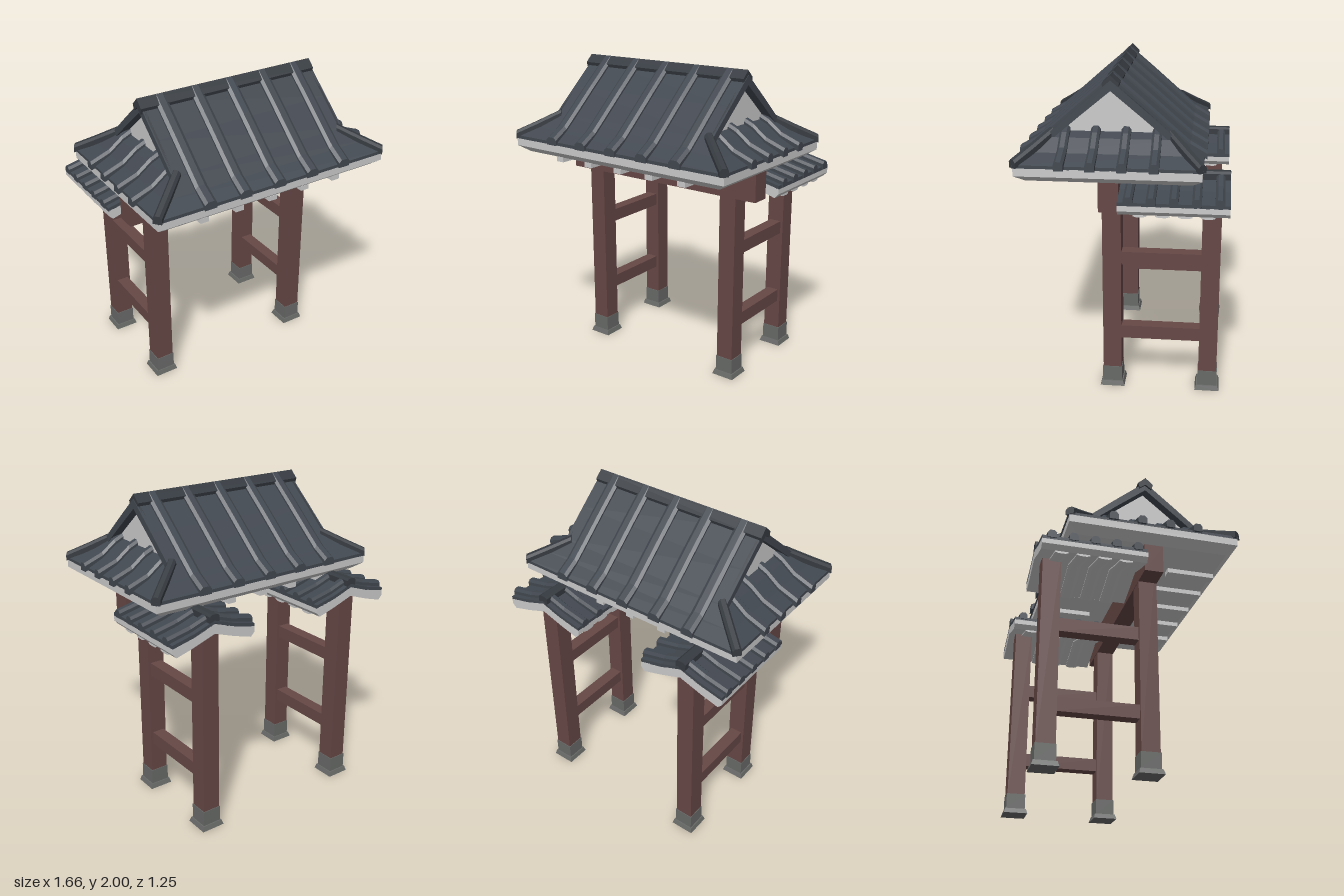
import * as THREE from 'three';

const paint = (color) => new THREE.MeshStandardMaterial({ color, flatShading: true });
const TILE = paint(0x424850), RIDGE = paint(0x363b41), WOOD = paint(0x664846);
const STONE = paint(0x686a68), GREY = paint(0xcccccc);
const ZC = 0.068; // depth of the main ridge line

function add(parent, name, geometry, material) {
  const mesh = new THREE.Mesh(geometry, material);
  mesh.name = name;
  parent.add(mesh);
  return mesh;
}

// Box given by its limits
function box(parent, name, material, x0, x1, y0, y1, z0, z1) {
  const mesh = add(parent, name, new THREE.BoxGeometry(x1 - x0, y1 - y0, z1 - z0), material);
  mesh.position.set((x0 + x1) / 2, (y0 + y1) / 2, (z0 + z1) / 2);
  return mesh;
}

// Closed solid through a row of rings; faces are turned outward by the sign of the volume
function loft(rings) {
  const n = rings[0].length, tris = [];
  for (let i = 0; i + 1 < rings.length; i++) {
    for (let j = 0; j < n; j++) {
      const k = (j + 1) % n, [a, b] = [rings[i], rings[i + 1]];
      tris.push([a[j], a[k], b[k]], [a[j], b[k], b[j]]);
    }
  }
  // Caps are triangulated so that concave sections work too
  for (const [ring, flip] of [[rings[0], true], [rings[rings.length - 1], false]]) {
    const size = [0, 1, 2].map((c) => Math.max(...ring.map((p) => p[c])) - Math.min(...ring.map((p) => p[c])));
    const drop = size.indexOf(Math.min(...size));
    const flat = ring.map((p) => new THREE.Vector2(...p.filter((_, c) => c !== drop)));
    const cw = THREE.ShapeUtils.isClockWise(flat);
    for (const [a, b, c] of THREE.ShapeUtils.triangulateShape(flat, [])) {
      const area = (flat[b].x - flat[a].x) * (flat[c].y - flat[a].y) - (flat[b].y - flat[a].y) * (flat[c].x - flat[a].x);
      const along = (area < 0) === cw; // same turning sense as the ring
      tris.push(along !== flip ? [ring[a], ring[b], ring[c]] : [ring[a], ring[c], ring[b]]);
    }
  }
  const v = (p) => new THREE.Vector3(...p), o = v(rings[0][0]);
  let volume = 0;
  for (const [a, b, c] of tris) volume += v(a).sub(o).dot(v(b).sub(o).cross(v(c).sub(o)));
  const pos = tris.flatMap((t) => (volume < 0 ? [t[0], t[2], t[1]] : t)).flat();
  const g = new THREE.BufferGeometry();
  g.setAttribute('position', new THREE.Float32BufferAttribute(pos, 3));
  g.computeVertexNormals();
  return g;
}

// Faceted half-round strip laid along a path; h is its rise (negative hangs down)
function strip(path, w, h) {
  const a = path[0], b = path[path.length - 1];
  const len = Math.hypot(b[0] - a[0], b[2] - a[2]);
  const sx = -(b[2] - a[2]) / len, sz = (b[0] - a[0]) / len;
  const section = [[-w, -h * 0.4], [-w, h * 0.55], [-w * 0.5, h], [w * 0.5, h], [w, h * 0.55], [w, -h * 0.4]];
  return loft(path.map(([x, y, z]) => section.map(([s, u]) => [x + sx * s, y + u, z + sz * s])));
}

// Horizontal rectangle ring
const rect = (hx, hz, y, x = 0, z = 0) =>
  [[x - hx, y, z - hz], [x + hx, y, z - hz], [x + hx, y, z + hz], [x - hx, y, z + hz]];

function mainRoof() {
  const roof = new THREE.Group();
  roof.name = 'mainRoof';
  const columns = [-0.475, -0.236, 0.002, 0.24, 0.48];

  // Eave slab with a chamfered underside
  add(roof, 'eaveSlab', loft([rect(0.74, 0.48, 1.41, 0, ZC), rect(0.803, 0.535, 1.452, 0, ZC),
    rect(0.803, 0.535, 1.5, 0, ZC)]), GREY);

  // Slope points: distance from ridge, height, half width, thickness
  const slope = [[0, 1.97, 0.61, 0.06], [0.19, 1.808, 0.61, 0.055], [0.365, 1.655, 0.61, 0.05],
    [0.455, 1.578, 0.7, 0.04], [0.54, 1.52, 0.8, 0.02]];
  for (const s of [1, -1]) {
    const side = s > 0 ? 'front' : 'back';
    add(roof, side + 'Slope', loft(slope.map(([d, y, w, t]) => {
      const z = ZC + s * d;
      return [[-w, y, z], [w, y, z], [w, y - t, z], [-w, y - t, z]];
    })), TILE);
    for (const x of columns) {
      const path = slope.map(([d, y]) => [x, y - 0.005, ZC + s * (d > 0.5 ? 0.555 : d)]);
      add(roof, side + 'TileRib', strip(path, 0.04, 0.035), TILE);
      box(roof, side + 'Rafter', GREY, x - 0.028, x + 0.028, 1.38, 1.412,
        ZC + (s > 0 ? 0.175 : -0.485), ZC + (s > 0 ? 0.485 : -0.175));
    }
  }

  // Hipped ends: x, height, half depth
  const hip = [[0.5, 1.685, 0.3], [0.61, 1.635, 0.365], [0.7, 1.567, 0.45], [0.803, 1.518, 0.54]];
  for (const s of [1, -1]) {
    const side = s > 0 ? 'left' : 'right';
    add(roof, side + 'HipSlope', loft(hip.map(([x, y, d]) =>
      [[s * x, y, ZC - d], [s * x, y, ZC + d], [s * x, y - 0.02, ZC + d], [s * x, y - 0.02, ZC - d]])), TILE);
    for (const z of [0.337, 0.16, -0.018, -0.198]) {
      const path = hip.map(([x, y]) => [s * (x > 0.8 ? 0.83 : x), y - 0.005, z]);
      add(roof, side + 'HipRib', strip(path, 0.028, 0.038), TILE);
    }
    for (const f of [1, -1]) {
      const path = [[0.575, 1.65, 0.35], [0.7, 1.575, 0.45], [0.805, 1.515, 0.535]];
      add(roof, side + 'HipRidge', strip(path.map(([x, y, d]) => [s * x, y, ZC + f * d]), 0.027, 0.035), RIDGE);
    }
    // Raised edge along the gable
    for (const f of [1, -1]) {
      const path = slope.slice(0, 3).map(([d, y]) => [s * 0.595, y - 0.03, ZC + f * d]);
      add(roof, side + 'GableEdge', strip(path, 0.014, 0.03), RIDGE);
    }
  }

  // Gable walls, both ends of one prism
  add(roof, 'gableWall', loft([-0.55, 0.55].map((x) =>
    [[x, 1.5, ZC - 0.4], [x, 1.6, ZC - 0.39], [x, 1.935, ZC], [x, 1.6, ZC + 0.39], [x, 1.5, ZC + 0.4]])), GREY);
  // Pointed cap on the ridge
  add(roof, 'ridgeCap', loft([-0.622, 0.607].map((x) =>
    [[x, 1.952, ZC - 0.05], [x, 1.992, ZC - 0.007], [x, 2, ZC], [x, 1.992, ZC + 0.007], [x, 1.952, ZC + 0.05],
      [x, 1.915, ZC + 0.04], [x, 1.945, ZC], [x, 1.915, ZC - 0.04]])), RIDGE);
  return roof;
}

// Small arched roof running back from the lintel
function sideRoof(x, name) {
  const roof = new THREE.Group();
  roof.name = name;
  roof.position.x = x;
  const z0 = -0.628, z1 = 0.012;
  const half = [[0, 1.4], [0.14, 1.352], [0.285, 1.318]];
  const top = [...half.slice(1).reverse().map(([d, y]) => [-d, y]), ...half];
  const back = [...top].reverse();
  const prism = (pts) => loft([z0, z1].map((z) => pts.map(([px, y]) => [px, y, z])));

  add(roof, 'tileLayer', prism([...top, ...back.map(([d, y]) => [d, y - 0.022])]), TILE);
  const soffit = back.map(([d, y]) => (Math.abs(d) > 0.2 ? [d * 0.91, 1.238] : [d, y - 0.08]));
  const upper = top.map(([d, y]) => [d, y - 0.02]);
  add(roof, 'roofBody', prism([[-0.285, 1.265], ...upper, [0.285, 1.265], ...soffit]), GREY);

  for (let i = 0; i < 5; i++) {
    const z = -0.05 - i * 0.13;
    const path = top.map(([d, y]) => [Math.abs(d) > 0.2 ? Math.sign(d) * 0.295 : d, y, z]);
    add(roof, 'tileRib', strip(path, 0.027, 0.035), TILE);
    // Rounded rafters beneath, set between the ribs
    if (i < 4) add(roof, 'roundRafter', strip(soffit.map(([d, y]) => [d, y, z - 0.065]), 0.04, -0.014), GREY);
  }
  add(roof, 'ridgeCap', prism([[-0.034, 1.37], [-0.034, 1.425], [-0.018, 1.437], [0.018, 1.437],
    [0.034, 1.425], [0.034, 1.37]]), RIDGE);
  return roof;
}

// Pair of posts with stone feet and two rails
function sideFrame(x, name) {
  const frame = new THREE.Group();
  frame.name = name;
  for (const [label, z, top] of [['frontPost', 0.073, 1.412], ['backPost', -0.528, 1.34]]) {
    box(frame, label, WOOD, x - 0.057, x + 0.057, 0.1, top, z - 0.057, z + 0.057);
    box(frame, 'stoneFoot', STONE, x - 0.061, x + 0.061, 0.03, 0.13, z - 0.061, z + 0.061);
    add(frame, 'plinth', loft([rect(0.077, 0.077, 0, x, z), rect(0.068, 0.068, 0.031, x, z)]), STONE);
  }
  for (const y of [0.33, 0.83]) box(frame, 'rail', WOOD, x - 0.04, x + 0.04, y, y + 0.085, -0.48, 0.03);
  return frame;
}

export function createModel() {
  const gate = new THREE.Group();
  gate.name = 'roofedGate';
  gate.add(sideFrame(-0.545, 'rightFrame'), sideFrame(0.522, 'leftFrame'));
  box(gate, 'lintel', WOOD, -0.742, 0.72, 1.224, 1.406, 0.014, 0.132);
  gate.add(sideRoof(-0.538, 'rightSideRoof'), sideRoof(0.522, 'leftSideRoof'));
  gate.add(mainRoof());
  return gate;
}
